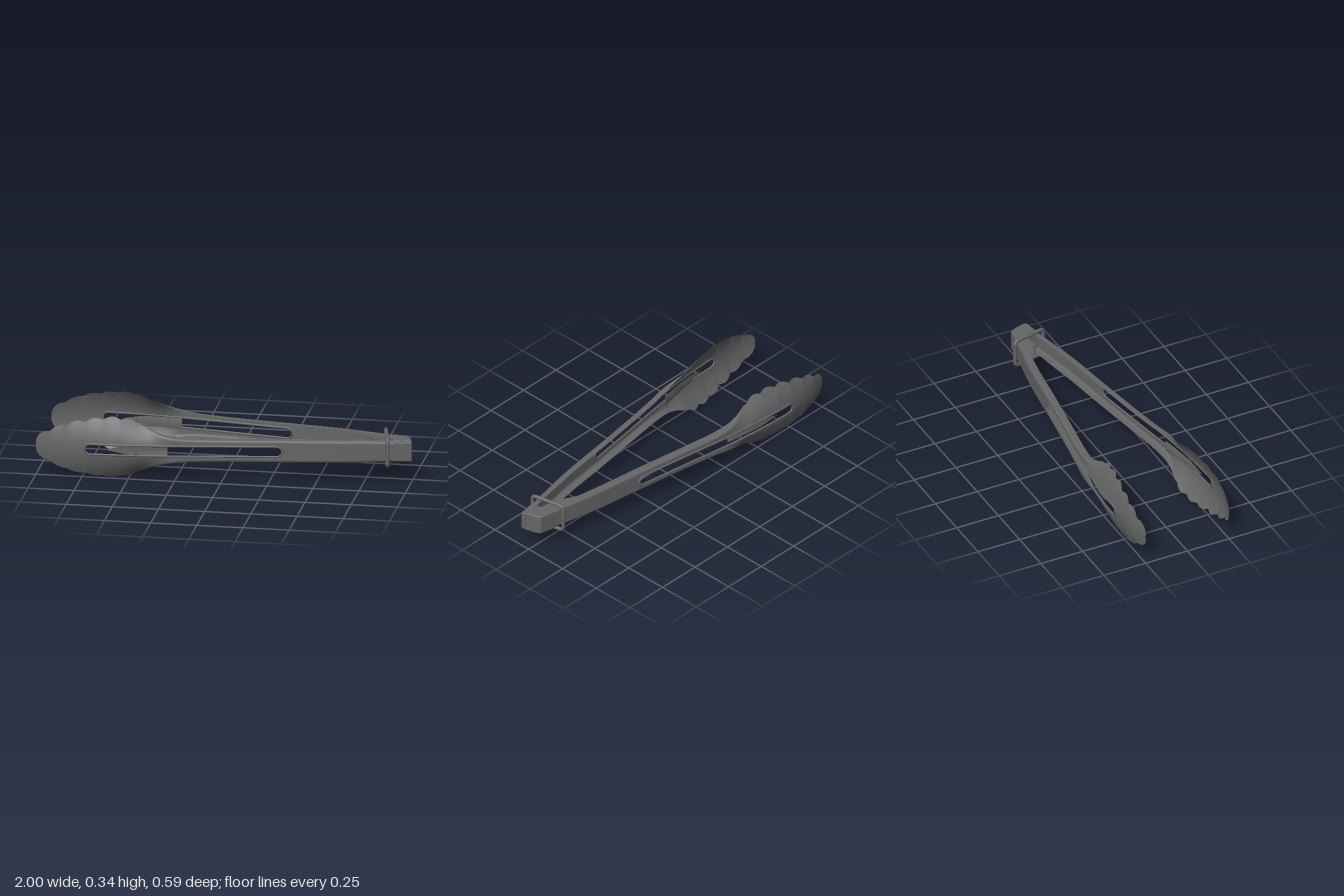
import * as THREE from 'three';

const steel = new THREE.MeshStandardMaterial({ color: 0x666666, side: THREE.DoubleSide });
steel.name = 'brushed steel';
const MID = 0.168;
const SLOT = { a: -0.73, b: 0.32, h: 0.024 };

// Smooth curve through [x, value] pairs
function curve(pairs) {
  const f = new THREE.CubicInterpolant(pairs.map(p => p[0]), pairs.map(p => p[1]), 1);
  return x => f.evaluate(x)[0];
}
const smooth = (x, a, b) => THREE.MathUtils.smoothstep(x, a, b);

// Outer face of an arm, seen from above
const faceZ = curve([[-1, 0.25], [-0.9, 0.275], [-0.8, 0.286], [-0.7, 0.29], [-0.5, 0.281], [-0.3, 0.26],
  [0, 0.214], [0.3, 0.169], [0.6, 0.127], [0.85, 0.078], [1, 0.05]]);
// Half height of the outline, without scallops
const outline = curve([[-1, 0.015], [-0.992, 0.035], [-0.97, 0.056], [-0.925, 0.08], [-0.83, 0.119],
  [-0.735, 0.14], [-0.64, 0.154], [-0.545, 0.154], [-0.45, 0.13], [-0.37, 0.1], [-0.3, 0.078],
  [-0.2, 0.065], [-0.1, 0.062], [0.4, 0.061], [0.8, 0.058], [1, 0.053]]);
// How far the bowl edge curls inwards
const curl = curve([[-1, 0.002], [-0.9, 0.014], [-0.8, 0.028], [-0.6, 0.056], [-0.45, 0.066], [-0.3, 0.045], [1, 0.04]]);
const scallop = x => Math.abs(Math.sin(Math.PI * (x + 0.925) / 0.095)) * (1 - smooth(x, -0.5, -0.38));

function slotHalf(x) {
  const d = Math.min(x - SLOT.a, SLOT.b - x);
  if (d <= 0) return 0;
  return d >= SLOT.h ? SLOT.h : Math.sqrt(SLOT.h ** 2 - (SLOT.h - d) ** 2);
}

// Cross-section of half an arm: [height from middle, depth inwards]
function section(x, hingeDepth) {
  const w = smooth(x, -0.45, -0.25);
  const H = outline(x) + 0.012 * scallop(x);
  const r = 0.013 * w;
  const h0 = slotHalf(x);
  const depth = (0.04 + (hingeDepth - 0.04) * smooth(x, 0.68, 0.82)) * w;
  const drop = (curl(x) + 0.012 * (scallop(x) - 0.5) * smooth(x, -1, -0.85)) * (1 - w);
  const pts = [];
  for (let i = 0; i <= 10; i++) {
    const y = h0 + (H - r - h0) * i / 10;
    pts.push([y, drop * (y / H) ** 2]);
  }
  for (let i = 1; i <= 4; i++) {
    const a = i * Math.PI / 8;
    pts.push([H - r + r * Math.sin(a), drop + r * (1 - Math.cos(a))]);
  }
  pts.push([H, drop + Math.max(depth, r)]);
  return pts;
}

// Sheet of half an arm; up and side are +1 or -1
function halfArm(up, side, end, hingeDepth) {
  const pos = [], idx = [], N = 260;
  let rows = 0;
  for (let i = 0; i <= N; i++) {
    const x = -1 + (end + 1) * i / N;
    const pts = section(x, hingeDepth);
    rows = pts.length;
    for (const [y, d] of pts) pos.push(x, MID + up * y, side * (faceZ(x) - d));
  }
  for (let i = 0; i < N; i++) for (let j = 0; j < rows - 1; j++) {
    const a = i * rows + j, b = a + rows;
    if (up * side > 0) idx.push(a, b, b + 1, a, b + 1, a + 1);
    else idx.push(a, b + 1, b, a, a + 1, b + 1);
  }
  const g = new THREE.BufferGeometry();
  g.setAttribute('position', new THREE.Float32BufferAttribute(pos, 3));
  g.setIndex(idx);
  g.computeVertexNormals();
  return g;
}

function add(group, name, geometry) {
  const m = new THREE.Mesh(geometry, steel);
  m.name = name;
  group.add(m);
  return m;
}

// Raised lip around the slot
function slotLip(side) {
  const pts = [], h = SLOT.h + 0.004;
  const put = (x, y) => pts.push(new THREE.Vector3(x, MID + y, side * faceZ(x)));
  for (let i = 0; i < 24; i++) put(THREE.MathUtils.lerp(SLOT.a + h, SLOT.b - h, i / 24), -h);
  for (let i = 0; i < 6; i++) put(SLOT.b - h + h * Math.sin(i * Math.PI / 6), -h * Math.cos(i * Math.PI / 6));
  for (let i = 0; i < 24; i++) put(THREE.MathUtils.lerp(SLOT.b - h, SLOT.a + h, i / 24), h);
  for (let i = 0; i < 6; i++) put(SLOT.a + h - h * Math.sin(i * Math.PI / 6), h * Math.cos(i * Math.PI / 6));
  return new THREE.TubeGeometry(new THREE.CatmullRomCurve3(pts, true), 200, 0.006, 8, true);
}

// Pointed spur running from the neck into the bowl
function spur(side) {
  const pos = [], idx = [], N = 16;
  for (let i = 0; i <= N; i++) {
    const x = -0.62 + 0.33 * i / N, t = i / N;
    const h = 0.02 * Math.min(1, t * 3) + 0.012 * t;
    for (const k of [-1, 0, 1]) {
      pos.push(x, MID + k * h, side * (faceZ(x) - 0.004 - 0.03 * t + 0.008 * k * k * t));
    }
  }
  for (let i = 0; i < N; i++) for (let j = 0; j < 2; j++) {
    const a = i * 3 + j, b = a + 3;
    idx.push(a, b, b + 1, a, b + 1, a + 1);
  }
  const g = new THREE.BufferGeometry();
  g.setAttribute('position', new THREE.Float32BufferAttribute(pos, 3));
  g.setIndex(idx);
  g.computeVertexNormals();
  return g;
}

// Solid hinge end from its outline in [x, z]
function hingeEnd(points, height) {
  const s = new THREE.Shape(points.map(([x, z]) => new THREE.Vector2(x, -z)));
  const b = 0.006;
  const g = new THREE.ExtrudeGeometry(s, { depth: height - 2 * b, bevelThickness: b, bevelSize: b, bevelOffset: -b, bevelSegments: 3 });
  g.rotateX(-Math.PI / 2);
  g.translate(0, MID - height / 2 + b, 0);
  return g;
}

// Rounded square ring that locks the arms, slightly tilted
function lockRing() {
  const pts = [], hz = 0.094, hy = 0.078, r = 0.02;
  [[1, 1], [-1, 1], [-1, -1], [1, -1]].forEach(([sz, sy], q) => {
    for (let i = 0; i <= 4; i++) {
      const a = (q + i / 4) * Math.PI / 2;
      const z = sz * (hz - r) + r * Math.cos(a);
      pts.push(new THREE.Vector3(0.857 + 0.22 * z, MID + sy * (hy - r) + r * Math.sin(a), z - 0.004));
    }
  });
  const path = new THREE.CurvePath();
  pts.forEach((p, i) => path.add(new THREE.LineCurve3(p, pts[(i + 1) % pts.length])));
  return new THREE.TubeGeometry(path, 160, 0.0105, 10, true);
}

// Coil spring with its two legs resting on the arms
function spring() {
  const pts = [new THREE.Vector3(0.72, MID - 0.035, 0.08)];
  for (let i = 0; i <= 60; i++) {
    const a = Math.PI / 2 - i / 60 * Math.PI * 11;
    pts.push(new THREE.Vector3(0.835 + 0.02 * Math.cos(a), MID - 0.035 + 0.07 * i / 60, 0.02 * Math.sin(a)));
  }
  pts.push(new THREE.Vector3(0.72, MID + 0.035, -0.08));
  return new THREE.TubeGeometry(new THREE.CatmullRomCurve3(pts), 260, 0.0045, 6);
}

export function createModel() {
  const model = new THREE.Group();
  model.name = 'tongs';
  for (const side of [1, -1]) {
    const arm = new THREE.Group();
    arm.name = side > 0 ? 'frontArm' : 'backArm';
    const end = side > 0 ? 0.995 : 0.965;
    const hingeDepth = side > 0 ? 0.035 : 0.075;
    for (const up of [1, -1]) add(arm, up > 0 ? 'upperHalf' : 'lowerHalf', halfArm(up, side, end, hingeDepth));
    add(arm, 'slotLip', slotLip(side));
    add(arm, 'spur', spur(side));
    model.add(arm);
  }
  add(model, 'frontHingeEnd', hingeEnd([[0.9, 0.035], [1, 0.028], [1, 0.052], [0.9, 0.069]], 0.108));
  add(model, 'backHingeEnd', hingeEnd([[0.88, -0.074], [0.965, -0.058], [0.985, -0.02], [0.995, 0.03], [0.9, 0.03]], 0.112));
  add(model, 'lockRing', lockRing());
  add(model, 'spring', spring());
  return model;
}
